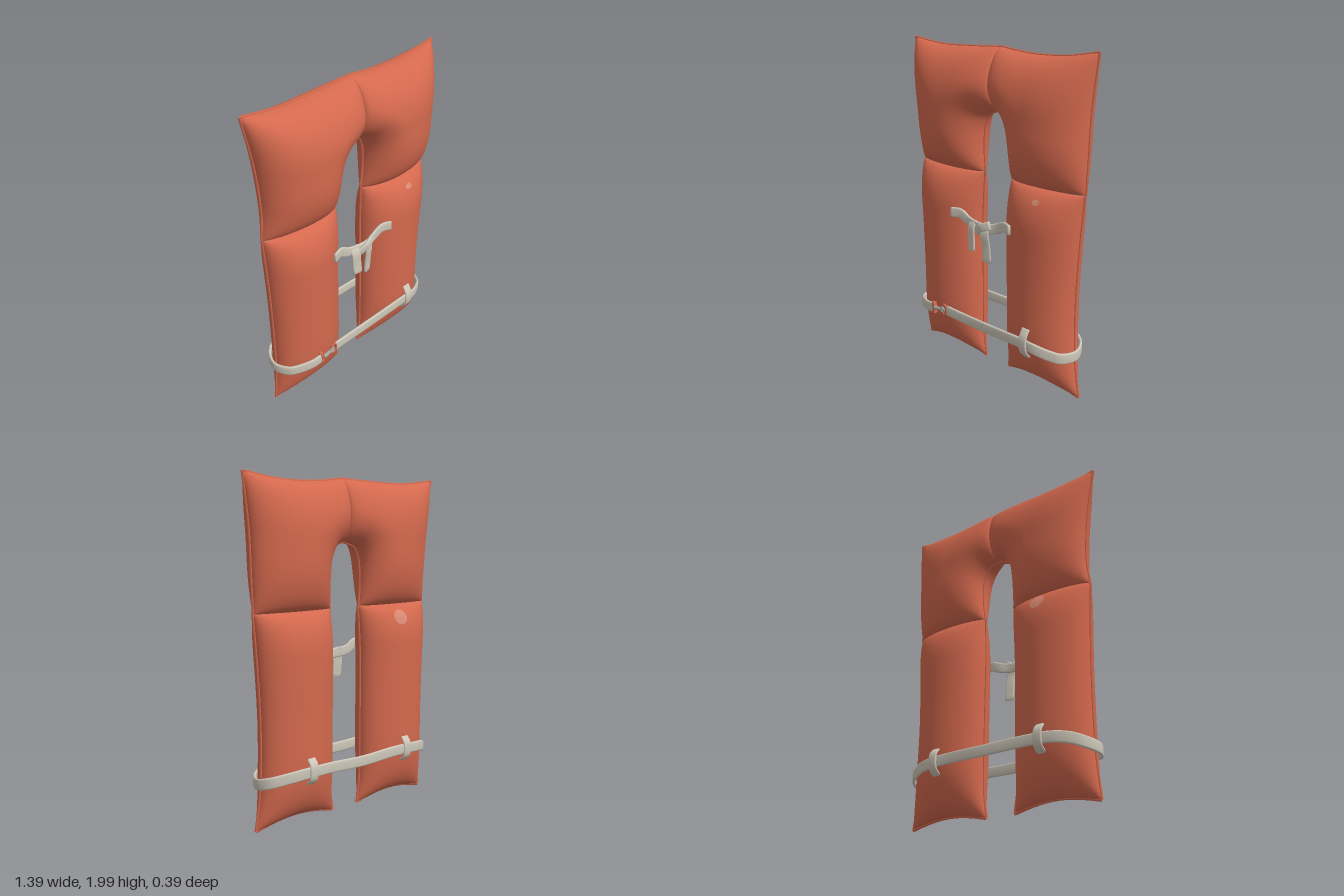
import * as THREE from 'three';

const mat = (name, color, side = THREE.FrontSide) => {
  const m = new THREE.MeshStandardMaterial({ color, side });
  m.name = name;
  return m;
};
const V2 = (x, y) => new THREE.Vector2(x, y);
const spline = (pts) => new THREE.SplineCurve(pts.map((p) => V2(...p)));
const ease = (t) => 0.5 - 0.5 * Math.cos(Math.PI * t);

function gridGeometry(nu, nv, pointAt, flip) {
  const pos = [], index = [];
  for (let j = 0; j <= nv; j++) for (let i = 0; i <= nu; i++) pos.push(...pointAt(i / nu, j / nv));
  for (let j = 0; j < nv; j++) for (let i = 0; i < nu; i++) {
    const a = j * (nu + 1) + i, b = a + 1, c = a + nu + 1, d = c + 1;
    index.push(...(flip ? [a, c, b, b, c, d] : [a, b, c, b, d, c]));
  }
  const g = new THREE.BufferGeometry();
  g.setAttribute('position', new THREE.Float32BufferAttribute(pos, 3));
  g.setIndex(index);
  g.computeVertexNormals();
  return g;
}

// Height rule of a stuffed panel: each edge pulls the surface down within radius r
function edgePull(f, r, floor = 0) {
  const lines = [];
  for (let k = 0; k < 40; k++) {
    const [a, b] = [f(k / 40), f((k + 1) / 40)];
    lines.push(new THREE.Line3(new THREE.Vector3(a.x, a.y, 0), new THREE.Vector3(b.x, b.y, 0)));
  }
  const q = new THREE.Vector3();
  return (p) => {
    let d = Infinity;
    for (const l of lines) d = Math.min(d, l.closestPointToPoint(p, true, q).distanceTo(p));
    const t = 1 - Math.min(d / r, 1);
    return floor + (1 - floor) * Math.sqrt(1 - t * t);
  };
}

// Flat strap with an oval section; "wide" is the direction of its width
function ribbon(pts, width, thick, wide, material, name, n = 40) {
  const curve = new THREE.CatmullRomCurve3(pts.map((p) => new THREE.Vector3(...p)));
  const up = new THREE.Vector3(...wide);
  const geo = gridGeometry(12, n + 2, (u, v) => {
    const row = Math.round(v * (n + 2));
    const t = THREE.MathUtils.clamp((row - 1) / n, 0, 1);
    const size = row === 0 || row === n + 2 ? 0 : 1;
    const c = curve.getPoint(t), tan = curve.getTangent(t);
    const w = up.clone().addScaledVector(tan, -up.dot(tan)).normalize();
    const nrm = new THREE.Vector3().crossVectors(w, tan);
    const a = u * Math.PI * 2, sq = (x) => Math.sign(x) * Math.sqrt(Math.abs(x));
    return c.addScaledVector(w, size * sq(Math.cos(a)) * width / 2)
      .addScaledVector(nrm, size * sq(Math.sin(a)) * thick / 2).toArray();
  }, false);
  const m = new THREE.Mesh(geo, material);
  m.name = name;
  return m;
}

export function createModel() {
  const root = new THREE.Group();
  root.name = 'lifeVest';
  const orange = mat('orange fabric', 0xd4694e);
  const webbing = mat('webbing', 0xcdc7b9, THREE.DoubleSide);
  const faded = mat('faded patch', 0xd88a74, THREE.DoubleSide);
  const metal = mat('buckle metal', 0xa9a498);
  const add = (geo, material, name, x = 0, y = 0, z = 0) => {
    const m = new THREE.Mesh(geo, material);
    m.name = name;
    m.position.set(x, y, z);
    root.add(m);
    return m;
  };

  // Stuffed panel between an inner and an outer outline; returns its height rule
  function pillow(name, side, at, pulls, zc, front, back, seams) {
    const height = (x, y, s) => {
      const p = new THREE.Vector3(x, y, 0);
      return zc + s * (s > 0 ? front : back) * pulls.reduce((h, f) => h * f(p), 1);
    };
    const group = new THREE.Group();
    group.name = name;
    for (const s of [1, -1]) {
      const geo = gridGeometry(32, 48, (u, v) => {
        const p = at(ease(u), ease(v));
        return [p.x, p.y, u === 0 || u === 1 ? zc : height(p.x, p.y, s)];
      }, s * side < 0);
      const m = new THREE.Mesh(geo, orange);
      m.name = s > 0 ? 'frontPanel' : 'backPanel';
      group.add(m);
    }
    // Piping sewn along the open edges
    for (const f of seams) {
      const pts = Array.from({ length: 21 }, (_, k) => new THREE.Vector3(f(k / 20).x, f(k / 20).y, zc));
      const m = new THREE.Mesh(new THREE.TubeGeometry(new THREE.CatmullRomCurve3(pts), 40, 0.008, 6), orange);
      m.name = 'piping';
      group.add(m);
    }
    root.add(group);
    return height;
  }

  function leg(name, side, inPts, outPts) {
    const inner = spline(inPts), outer = spline(outPts);
    const at = (u, v) => {
      const p = inner.getPoint(v).lerp(outer.getPoint(v), u);
      p.y += 0.04 * Math.sin(Math.PI * u) * (1 - v) ** 6;
      return p;
    };
    const edges = [(t) => at(0, t), (t) => at(1, t), (t) => at(t, 0)];
    const pulls = [edgePull(edges[0], 0.25), edgePull(edges[1], 0.25), edgePull(edges[2], 0.35),
      edgePull((t) => at(t, 1), 0.24, 0.28)];
    return pillow(name, side, at, pulls, -0.01, 0.167, 0.147, edges);
  }

  function shoulder(name, side, inPts, sidePts, topPts) {
    const inner = spline(inPts), flank = spline(sidePts), top = spline(topPts);
    const outer = (v) => (v <= 0.5 ? flank.getPoint(v * 2) : top.getPoint(v * 2 - 1));
    const at = (u, v) => inner.getPoint(v).lerp(outer(v), u);
    const edges = [(t) => inner.getPoint(t), (t) => flank.getPoint(t), (t) => top.getPoint(t)];
    const pulls = [edgePull(edges[0], 0.2), edgePull(edges[1], 0.3), edgePull(edges[2], 0.3),
      edgePull((t) => at(t, 0), 0.3, 0.22), edgePull((t) => at(t, 1), 0.22, 0.6)];
    return pillow(name, side, at, pulls, -0.015, 0.2, 0.148, edges);
  }

  const leftLeg = leg('leftLegPanel', 1,
    [[0.1, 0.015], [0.122, 0.2], [0.12, 0.6], [0.115, 0.95], [0.12, 1.24]],
    [[0.645, 0.015], [0.61, 0.25], [0.6, 0.6], [0.615, 0.95], [0.638, 1.24]]);
  const rightLeg = leg('rightLegPanel', -1,
    [[-0.092, 0.015], [-0.115, 0.2], [-0.118, 0.6], [-0.118, 0.95], [-0.1, 1.24]],
    [[-0.622, 0.012], [-0.602, 0.25], [-0.6, 0.6], [-0.61, 0.95], [-0.628, 1.24]]);
  shoulder('leftShoulderPanel', 1,
    [[0.12, 1.24], [0.136, 1.38], [0.13, 1.51], [0.09, 1.59], [0.03, 1.62]],
    [[0.638, 1.24], [0.645, 1.42], [0.655, 1.7], [0.688, 1.99]],
    [[0.688, 1.99], [0.48, 1.958], [0.25, 1.953], [0.03, 1.975]]);
  shoulder('rightShoulderPanel', -1,
    [[-0.1, 1.24], [-0.11, 1.38], [-0.1, 1.51], [-0.06, 1.59], [0.03, 1.62]],
    [[-0.628, 1.24], [-0.612, 1.42], [-0.635, 1.7], [-0.692, 1.99]],
    [[-0.692, 1.99], [-0.45, 1.962], [-0.2, 1.965], [0.03, 1.975]]);

  // Worn fabric patches lying on the panels
  function patch(height, s, x, y, rx, ry) {
    const g = new THREE.RingGeometry(0, 1, 10, 3);
    const p = g.attributes.position;
    for (let i = 0; i < p.count; i++) {
      const px = x + p.getX(i) * rx, py = y + p.getY(i) * ry;
      p.setXYZ(i, px, py, height(px, py, s) + s * 0.005);
    }
    g.computeVertexNormals();
    add(g, faded, 'wornPatch');
  }
  patch(leftLeg, 1, 0.4, 1.18, 0.025, 0.016);
  patch(rightLeg, -1, -0.34, 1.165, 0.05, 0.045);

  // Waist belt running once around the vest from the buckle
  root.add(ribbon([[-0.27, 0.335, 0.168], [-0.1, 0.33, 0.166], [0.1, 0.33, 0.168], [0.36, 0.335, 0.172],
    [0.45, 0.325, 0.165], [0.53, 0.3, 0.128], [0.585, 0.285, 0.088], [0.622, 0.285, 0],
    [0.595, 0.305, -0.08], [0.52, 0.325, -0.13], [0.42, 0.34, -0.16], [0.25, 0.345, -0.168],
    [0, 0.34, -0.178], [-0.25, 0.345, -0.168], [-0.42, 0.34, -0.16], [-0.52, 0.325, -0.13],
    [-0.59, 0.3, -0.08], [-0.617, 0.285, 0], [-0.58, 0.288, 0.088], [-0.53, 0.295, 0.125],
    [-0.45, 0.308, 0.16], [-0.38, 0.32, 0.17]], 0.066, 0.018, [0, 1, 0], webbing, 'waistBelt', 150));

  // Loops that hold the belt
  for (const [x, s, y] of [[0.38, 1, 0.34], [0.36, -1, 0.345], [-0.36, -1, 0.345]]) {
    const h = s > 0 ? 0.09 : 0.075, z = s > 0 ? 0 : 0.008;
    root.add(ribbon([[x, y - h, s * (0.148 - z)], [x, y - 0.045, s * (0.182 - z)], [x, y, s * (0.19 - z)],
      [x, y + 0.045, s * (0.184 - z)], [x, y + h, s * (0.158 - z)]], 0.054, 0.014, [1, 0, 0], webbing, 'beltLoop', 16));
  }

  // Buckle: ring, snap hook and keeper
  const ring = add(new THREE.TorusGeometry(0.028, 0.007, 8, 20), orange, 'buckleRing', -0.29, 0.335, 0.172);
  ring.scale.set(0.75, 1.2, 1);
  const hook = add(new THREE.CylinderGeometry(0.009, 0.014, 0.08, 10), metal, 'snapHook', -0.335, 0.328, 0.174);
  hook.rotation.z = -Math.PI / 2 + 0.15;
  add(new THREE.TorusGeometry(0.016, 0.006, 6, 14), metal, 'hookEye', -0.305, 0.332, 0.176);
  add(new THREE.BoxGeometry(0.016, 0.074, 0.026), orange, 'beltKeeper', -0.385, 0.32, 0.168).rotation.z = 0.12;

  // Chest tie with its knot and two hanging ends
  root.add(ribbon([[-0.24, 0.99, 0.142], [-0.18, 0.992, 0.125], [-0.12, 0.958, 0.118], [-0.04, 0.945, 0.128],
    [0.04, 0.945, 0.13], [0.11, 0.96, 0.118], [0.17, 0.985, 0.12], [0.23, 0.985, 0.14]],
    0.062, 0.018, [0, 1, 0], webbing, 'chestTie'));
  root.add(ribbon([[-0.035, 0.915, 0.135], [0.015, 0.95, 0.148], [0.075, 0.975, 0.135]],
    0.05, 0.02, [-0.5, 0.8, 0], webbing, 'tieKnot', 12));
  root.add(ribbon([[-0.072, 0.975, 0.12], [-0.07, 0.93, 0.142], [-0.066, 0.86, 0.145], [-0.062, 0.79, 0.15]],
    0.06, 0.014, [1, 0, 0.2], webbing, 'leftTieEnd', 12));
  root.add(ribbon([[0.035, 0.965, 0.125], [0.037, 0.92, 0.142], [0.04, 0.83, 0.132], [0.042, 0.735, 0.125]],
    0.058, 0.014, [1, 0, -0.2], webbing, 'rightTieEnd', 12));

  return root;
}
